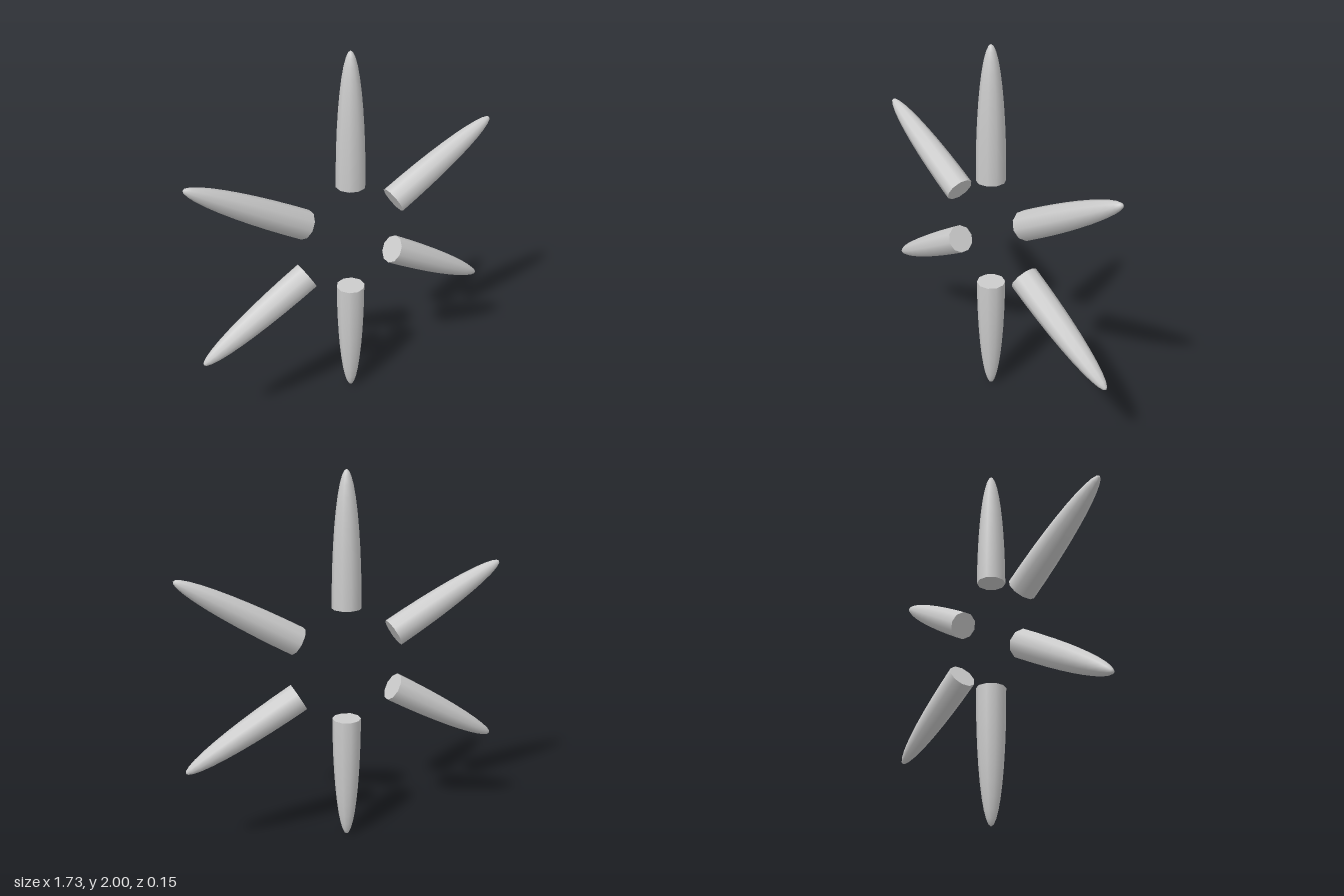
import * as THREE from 'three';

const COUNT = 6, SIDES = 10;
const INNER = 0.303, OUTER = 1, RADIUS = 0.077;

export function createModel() {
  const model = new THREE.Group();
  const material = new THREE.MeshStandardMaterial({ color: 0xcccccc });

  // Half ellipsoid pointing outward along +y
  const body = new THREE.SphereGeometry(1, SIDES, 10, 0, Math.PI * 2, 0, Math.PI / 2);
  body.rotateY(Math.PI / 2);
  body.scale(RADIUS, OUTER - INNER, RADIUS);
  body.translate(0, INNER, 0);

  // Flat disc closing the inner end
  const cap = new THREE.CircleGeometry(RADIUS, SIDES);
  cap.rotateZ(Math.PI / 2);
  cap.rotateX(Math.PI / 2);
  cap.translate(0, INNER, 0);

  // Six rays around the centre
  for (let i = 0; i < COUNT; i++) {
    const ray = new THREE.Group();
    ray.name = `ray${i + 1}`;
    const bodyMesh = new THREE.Mesh(body, material);
    bodyMesh.name = 'rayBody';
    const capMesh = new THREE.Mesh(cap, material);
    capMesh.name = 'rayInnerEnd';
    ray.add(bodyMesh, capMesh);
    ray.position.y = 1;
    ray.rotation.z = (i / COUNT) * Math.PI * 2;
    model.add(ray);
  }
  return model;
}
